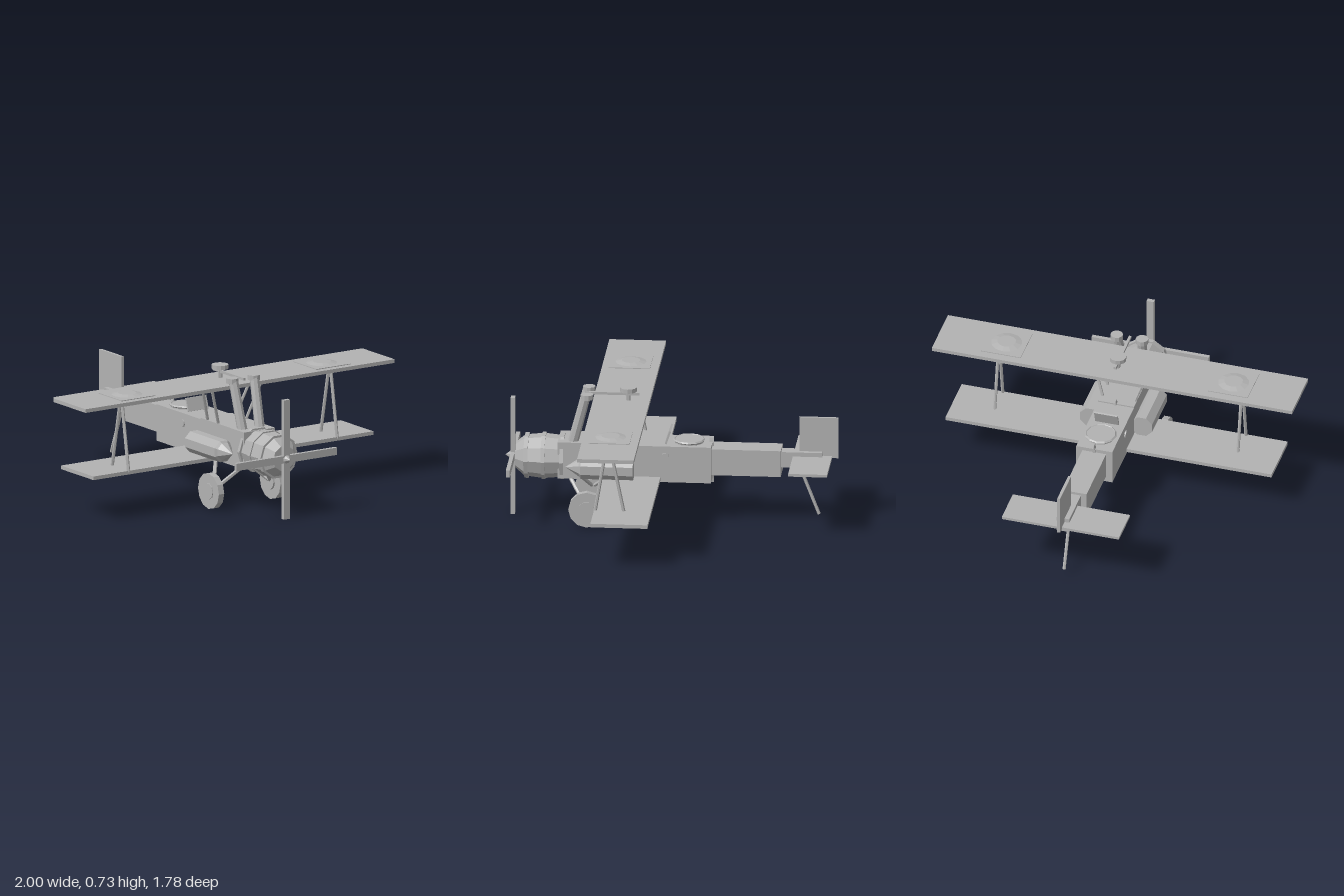
import * as THREE from 'three';

export function createModel() {
  const root = new THREE.Group();
  root.name = 'biplane';
  const grey = new THREE.MeshStandardMaterial({ color: 0xb2b2b2 });
  grey.name = 'plain grey';

  const add = (name, geometry) => {
    const flat = geometry.index ? geometry.toNonIndexed() : geometry;
    flat.computeVertexNormals(); // faceted, low-poly look
    const mesh = new THREE.Mesh(flat, grey);
    mesh.name = name;
    root.add(mesh);
    return mesh;
  };
  // Box given by its extents on each axis
  const box = (name, x0, x1, y0, y1, z0, z1) => {
    const m = add(name, new THREE.BoxGeometry(x1 - x0, y1 - y0, z1 - z0));
    m.position.set((x0 + x1) / 2, (y0 + y1) / 2, (z0 + z1) / 2);
    return m;
  };
  // Round bar between two points
  const bar = (name, a, b, r0, r1 = r0, sides = 6) => {
    const p = new THREE.Vector3(...a), q = new THREE.Vector3(...b);
    const m = add(name, new THREE.CylinderGeometry(r1, r0, p.distanceTo(q), sides));
    m.position.copy(p).add(q).multiplyScalar(0.5);
    m.quaternion.setFromUnitVectors(new THREE.Vector3(0, 1, 0), q.sub(p).normalize());
    return m;
  };
  // Turned body lying along z; profile points are [radius, z]
  const turned = (name, profile, sides, x, y) => {
    const pts = profile.map(([r, z]) => new THREE.Vector2(r, z));
    const g = new THREE.LatheGeometry(pts, sides, Math.PI / sides).rotateX(Math.PI / 2);
    add(name, g).position.set(x, y, 0);
  };

  // Fuselage
  box('noseFuselage', -0.1, 0.1, 0.235, 0.437, 0.19, 0.6);
  box('midFuselage', -0.1, 0.1, 0.23, 0.43, -0.22, 0.19);
  box('rearFuselage', -0.066, 0.066, 0.265, 0.41, -0.59, -0.22);
  box('tailBoom', -0.035, 0.035, 0.31, 0.395, -0.81, -0.59);
  for (const z of [0.195, -0.215]) {
    const ridge = add('fuselageRidge', new THREE.CylinderGeometry(0.125, 0.125, 0.04, 4));
    ridge.geometry.rotateX(Math.PI / 2);
    ridge.scale.set(0.2, 1, 0.6);
    ridge.position.set(0, 0.33, z);
  }

  // Engine cowling with three raised rings
  turned('engineCowling', [
    [0, 0.57], [0.124, 0.57], [0.124, 0.59], [0.112, 0.59], [0.12, 0.67],
    [0.127, 0.67], [0.127, 0.69], [0.12, 0.69], [0.112, 0.76], [0.122, 0.76],
    [0.122, 0.782], [0.11, 0.782], [0.07, 0.83], [0, 0.83],
  ], 10, 0, 0.328);

  // Propeller
  turned('spinner', [[0, 0.82], [0.027, 0.82], [0.025, 0.855], [0, 0.887]], 8, 0, 0.328);
  box('verticalBlade', -0.02, 0.02, 0, 0.653, 0.835, 0.858);
  box('horizontalBlade', -0.325, 0.325, 0.308, 0.348, 0.836, 0.857);

  // Wings
  box('upperWing', -1, 1, 0.632, 0.652, 0.115, 0.418);
  box('lowerWing', -0.905, 0.905, 0.238, 0.258, 0.05, 0.355);

  // Tail
  box('tailplane', -0.325, 0.325, 0.357, 0.372, -0.86, -0.652);
  box('fin', -0.008, 0.008, 0.36, 0.585, -0.893, -0.685);
  bar('tailSkid', [0, 0.285, -0.695], [0, 0.042, -0.79], 0.009);

  // Cockpit
  bar('cockpitCover', [0, 0.42, -0.095], [0, 0.445, -0.095], 0.08, 0.08, 12);
  const rim = add('cockpitRim', new THREE.TorusGeometry(0.079, 0.007, 4, 12));
  rim.rotation.x = Math.PI / 2;
  rim.position.set(0, 0.441, -0.095);
  const screen = box('windscreen', -0.065, 0.065, 0.43, 0.505, 0.008, 0.018);
  screen.rotation.x = -0.33;

  // Tank above the upper wing
  box('fuelLine', -0.007, 0.007, 0.681, 0.695, 0.17, 0.46);
  bar('tankPost', [0, 0.645, 0.23], [0, 0.71, 0.23], 0.012);
  bar('topTank', [0, 0.702, 0.23], [0, 0.725, 0.23], 0.045, 0.045, 12);

  for (const s of [-1, 1]) {
    // Raised patch on the wing
    box('wingPatch', s * 0.63 - 0.11, s * 0.63 + 0.11, 0.65, 0.656, 0.16, 0.38);
    bar('wingDome', [s * 0.63, 0.652, 0.27], [s * 0.63, 0.664, 0.27], 0.1, 0.05, 12);

    // Struts between the wings
    bar('outerStrut', [s * 0.675, 0.25, 0.35], [s * 0.675, 0.64, 0.285], 0.009);
    bar('outerStrut', [s * 0.675, 0.25, 0.195], [s * 0.675, 0.64, 0.275], 0.009);
    bar('cabaneStrut', [s * 0.085, 0.42, 0.34], [s * 0.16, 0.64, 0.385], 0.008);
    bar('cabaneStrut', [s * 0.085, 0.42, 0.24], [s * 0.16, 0.64, 0.29], 0.008);

    // Exhaust stacks with caps
    bar('exhaustStack', [s * 0.055, 0.41, 0.525], [s * 0.068, 0.69, 0.452], 0.028, 0.026, 8);
    bar('exhaustCap', [s * 0.07, 0.675, 0.445], [s * 0.07, 0.702, 0.445], 0.034, 0.034, 10);

    // Side pod
    turned('sidePod', [[0, 0.19], [0.062, 0.19], [0.062, 0.47], [0.05, 0.48], [0, 0.555]],
      8, s * 0.143, 0.315);
    bar('porthole', [s * 0.09, 0.375, 0.025], [s * 0.108, 0.375, 0.025], 0.021, 0.021, 10);

    // Landing gear
    bar('wheel', [s * 0.182, 0.1, 0.435], [s * 0.217, 0.1, 0.435], 0.098, 0.098, 12);
    bar('wheelHub', [s * 0.172, 0.1, 0.435], [s * 0.222, 0.1, 0.435], 0.045, 0.045, 10);
    bar('gearStrut', [s * 0.187, 0.1, 0.435], [s * 0.06, 0.24, 0.54], 0.011);
    bar('gearStrut', [s * 0.187, 0.1, 0.435], [s * 0.06, 0.24, 0.28], 0.011);
  }
  return root;
}
